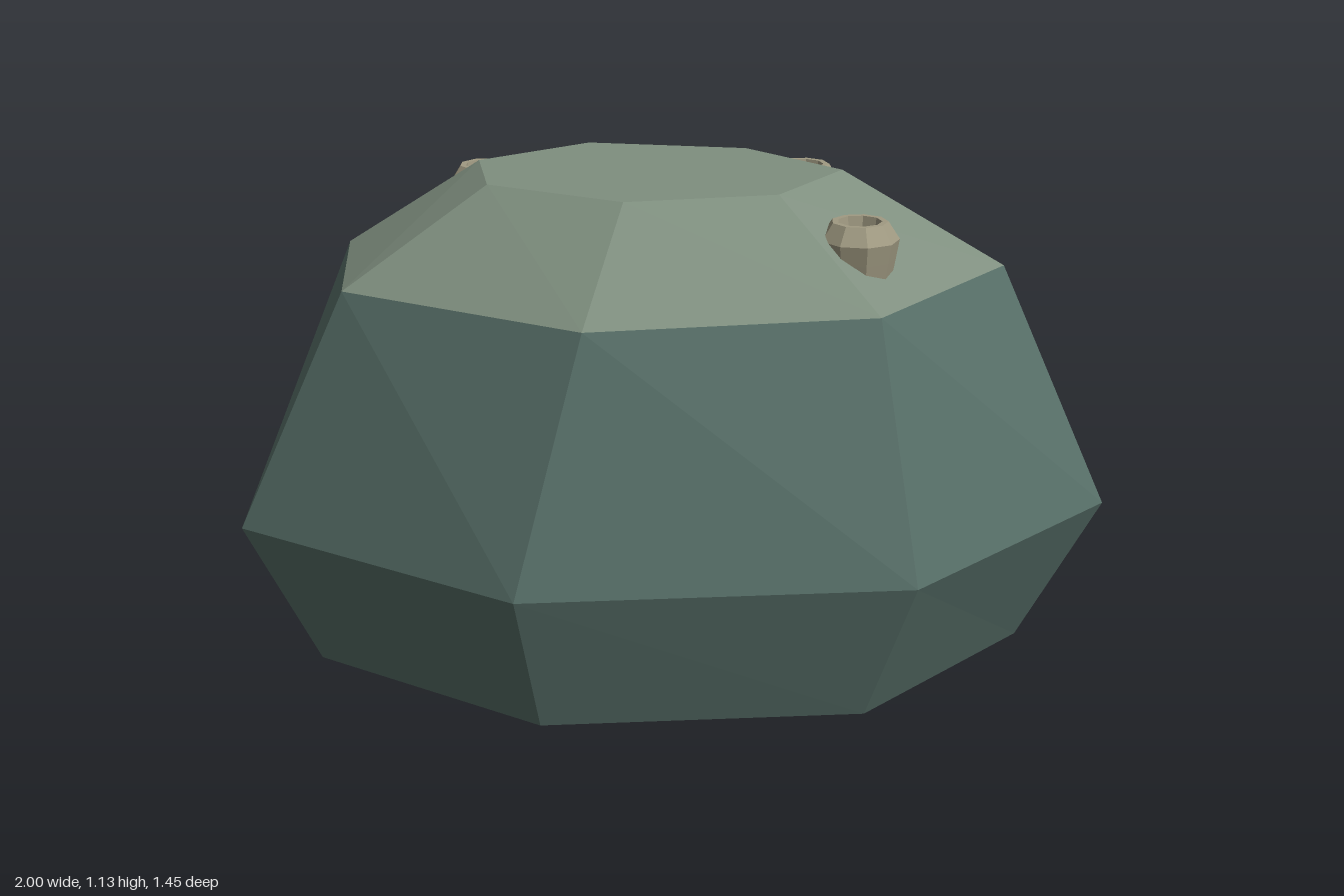
import * as THREE from 'three';

// Seven-sided cross-sections of the boulder, [x, z] from +x round through +z
const rings = [
  { y: 0, pts: [[0.805, 0.01], [0.44, 0.495], [-0.28, 0.6], [-0.835, 0.25], [-0.835, -0.24], [-0.28, -0.59], [0.44, -0.44]] },
  { y: 0.34, pts: [[1, 0.01], [0.55, 0.59], [-0.32, 0.72], [-1, 0.3], [-1, -0.29], [-0.32, -0.725], [0.55, -0.54]] },
  { y: 0.905, pts: [[0.75, -0.04], [0.46, 0.42], [-0.18, 0.57], [-0.75, 0.275], [-0.81, -0.175], [-0.35, -0.54], [0.35, -0.445]] },
  { y: 1.13, pts: [[0.37, -0.03], [0.23, 0.225], [-0.11, 0.315], [-0.43, 0.165], [-0.48, -0.08], [-0.24, -0.285], [0.14, -0.245]] },
];

const material = (color) => new THREE.MeshStandardMaterial({ color, flatShading: true });

// Joins neighbouring rings with faceted bands, optionally capping either end
function facetedShell(sections, capBottom, capTop) {
  const pos = [];
  const n = sections[0].pts.length;
  const tri = (...corners) => corners.forEach(([s, i]) => {
    const [x, z] = s.pts[i % n];
    pos.push(x, s.y, z);
  });
  for (let k = 0; k + 1 < sections.length; k++) {
    const lo = sections[k], up = sections[k + 1];
    for (let i = 0; i < n; i++) {
      tri([lo, i], [up, i], [up, i + 1]);
      tri([lo, i], [up, i + 1], [lo, i + 1]);
    }
  }
  const first = sections[0], last = sections[sections.length - 1];
  for (let i = 1; i < n - 1; i++) {
    if (capBottom) tri([first, 0], [first, i], [first, i + 1]);
    if (capTop) tri([last, 0], [last, i + 1], [last, i]);
  }
  const geo = new THREE.BufferGeometry();
  geo.setAttribute('position', new THREE.Float32BufferAttribute(pos, 3));
  geo.computeVertexNormals();
  return geo;
}

function part(name, geometry, mat) {
  const mesh = new THREE.Mesh(geometry, mat);
  mesh.name = name;
  return mesh;
}

export function createModel() {
  const model = new THREE.Group();
  model.name = 'boulder';
  const stone = material(0x587069);
  const paleStone = material(0x7f8f7f);
  const shell = material(0xa09a82);
  const hollow = material(0x3c5658);

  // Dark lower body and paler crown
  model.add(part('rockBody', facetedShell(rings.slice(0, 3), true, false), stone));
  model.add(part('rockCrown', facetedShell(rings.slice(2), false, true), paleStone));

  // Barnacles: bulging cups with a dark floor inside the rim
  const profile = [[0.07, -0.15], [0.082, -0.085], [0.09, -0.04], [0.064, 0], [0.05, 0], [0.046, -0.03]]
    .map(([r, y]) => new THREE.Vector2(r, y));
  const cup = new THREE.LatheGeometry(profile, 9);
  const floor = new THREE.CircleGeometry(0.048, 9).rotateX(-Math.PI / 2);
  for (const [x, z, turn] of [[0.41, 0.235, 0.2], [0.275, -0.33, 0.9], [-0.49, -0.28, 1.6]]) {
    const barnacle = new THREE.Group();
    barnacle.name = 'barnacle';
    barnacle.position.set(x, 1.075, z);
    barnacle.rotation.y = turn;
    const opening = part('barnacleOpening', floor, hollow);
    opening.position.y = -0.025;
    barnacle.add(part('barnacleShell', cup, shell), opening);
    model.add(barnacle);
  }
  return model;
}
